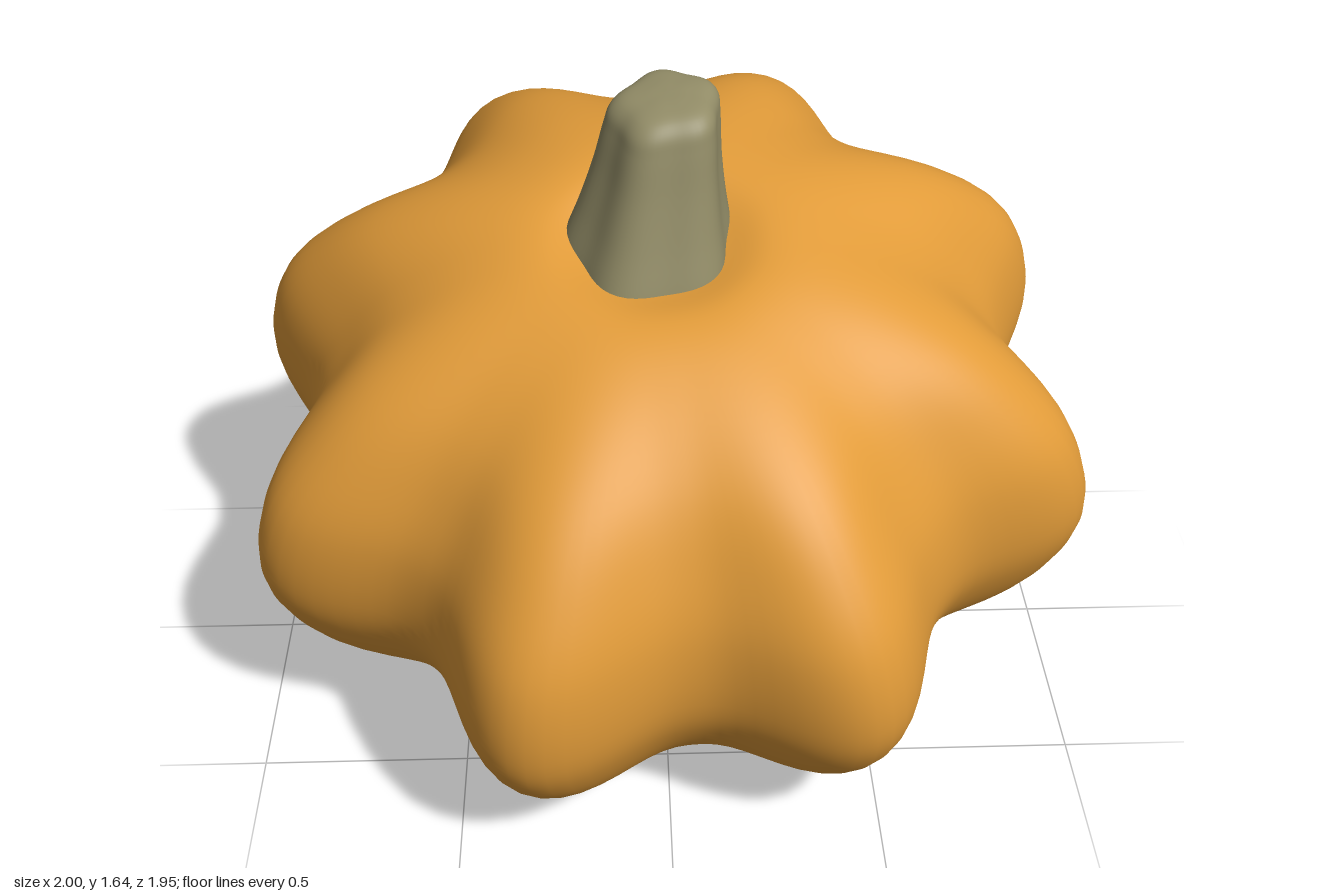
import * as THREE from 'three';
import { mergeVertices } from 'three/addons/utils/BufferGeometryUtils.js';

const RAD = Math.PI / 180;

// Smooth lathe whose vertices are moved by rule(v, angle), with angle measured from +x towards +z
function shapedLathe(profile, samples, segments, rule) {
  const curve = new THREE.CatmullRomCurve3(profile.map(([r, y]) => new THREE.Vector3(r, y, 0)), false, 'centripetal');
  const points = curve.getPoints(samples).map((p) => new THREE.Vector2(Math.max(p.x, 0), p.y));
  let geometry = new THREE.LatheGeometry(points, segments);
  geometry.deleteAttribute('uv');
  geometry.deleteAttribute('normal');
  geometry = mergeVertices(geometry, 1e-5);
  const pos = geometry.attributes.position;
  const v = new THREE.Vector3();
  for (let i = 0; i < pos.count; i++) {
    v.fromBufferAttribute(pos, i);
    rule(v, Math.atan2(v.z, v.x));
    pos.setXYZ(i, v.x, v.y, v.z);
  }
  geometry.computeVertexNormals();
  return geometry;
}

export function createModel() {
  const orange = new THREE.MeshStandardMaterial({ color: 0xe19b39 });
  orange.name = 'pumpkin orange';
  const olive = new THREE.MeshStandardMaterial({ color: 0x918b66 });
  olive.name = 'stem olive';

  // Squat body with eight lobes that fade out towards the dimpled poles
  const bodyProfile = [
    [0, -0.63], [0.06, -0.635], [0.16, -0.655], [0.42, -0.608], [0.68, -0.475], [0.865, -0.29],
    [0.95, -0.09], [0.957, 0.04], [0.9, 0.225], [0.79, 0.37], [0.65, 0.49], [0.44, 0.59],
    [0.26, 0.625], [0.13, 0.59], [0, 0.57],
  ];
  const body = new THREE.Mesh(shapedLathe(bodyProfile, 90, 160, (v, angle) => {
    const lobe = Math.pow(0.5 + 0.5 * Math.cos(8 * (angle - 19.5 * RAD)), 1.2);
    const fade = THREE.MathUtils.smoothstep(Math.hypot(v.x, v.z), 0.12, 0.95);
    const swell = 1 + (0.194 * lobe - 0.095) * fade;
    v.x *= swell;
    v.z *= swell;
  }), orange);
  body.name = 'pumpkinBody';
  body.position.set(0.003, 0.7, -0.008);
  body.rotation.set(15.5 * RAD, 0, 2 * RAD);

  // Stem with five soft corners, leaning and narrowing to a sloped, rounded cap
  const stemProfile = [
    [0.21, -0.06], [0.202, 0], [0.174, 0.1], [0.151, 0.2], [0.136, 0.29], [0.126, 0.33],
    [0.102, 0.352], [0.05, 0.362], [0, 0.364],
  ];
  const stem = new THREE.Mesh(shapedLathe(stemProfile, 40, 60, (v, angle) => {
    const corner = 0.93 + 0.06 * Math.cos(5 * (angle - 45 * RAD));
    const t = v.y / 0.364;
    v.x *= corner;
    v.z *= corner;
    v.y += -(0.29 - 0.12 * t) * v.z + 0.07 * t * v.x;
    v.x += 0.04 * t;
    v.z -= 0.035 * t;
  }), olive);
  stem.name = 'stem';
  stem.position.set(-0.03, 1.265, 0.13);

  const model = new THREE.Group();
  model.name = 'pumpkin';
  model.add(body, stem);
  return model;
}
